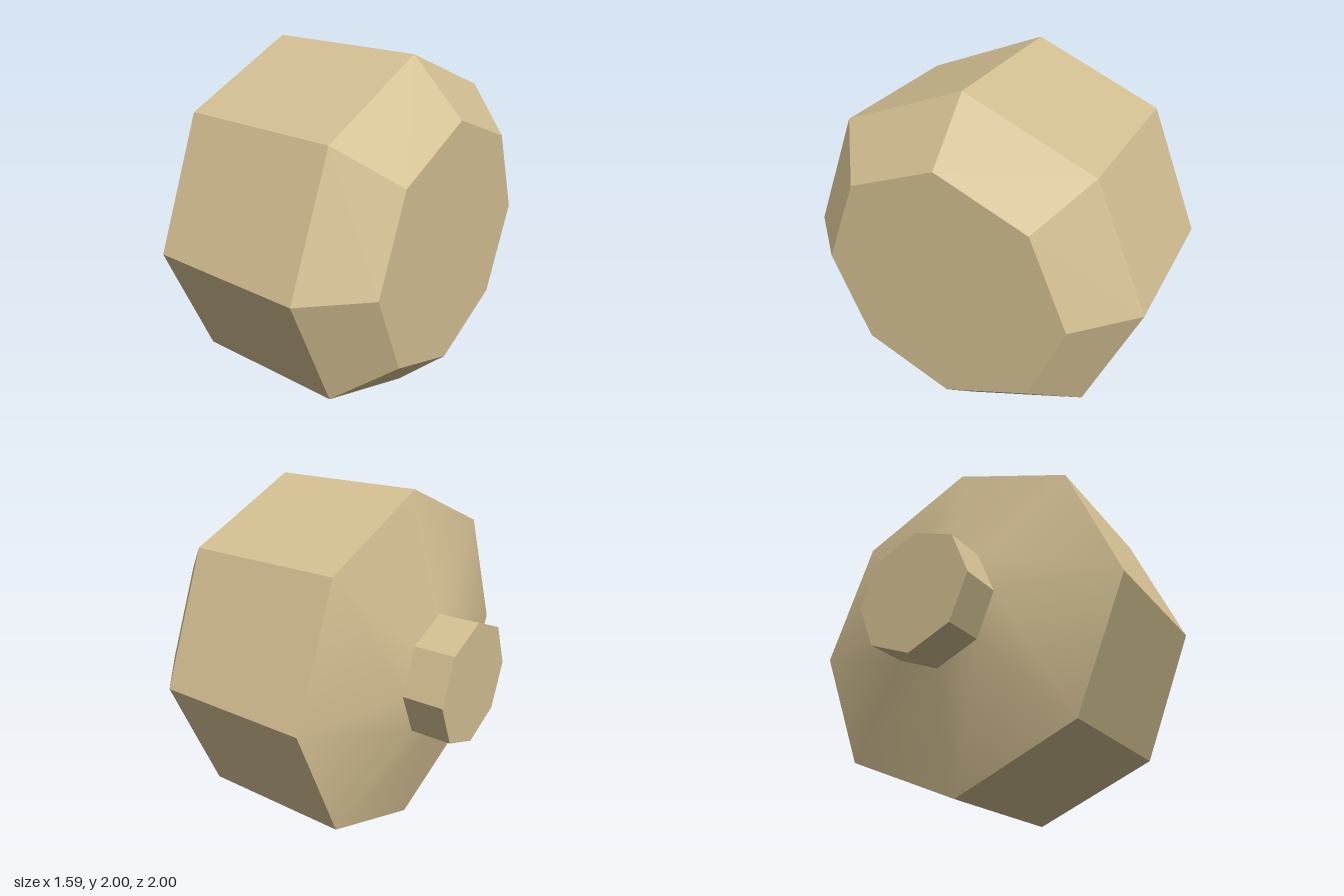
import * as THREE from 'three';

export function createModel() {
  const group = new THREE.Group();
  const tan = new THREE.MeshStandardMaterial({ color: 0xd2be91 });
  tan.name = 'tan';

  // Eight-sided section along x, from (x0, r0) to (x1, r1); open at both ends
  function section(name, x0, r0, x1, r1, smooth = false) {
    let geo = new THREE.CylinderGeometry(r1, r0, x1 - x0, 8, 1, true);
    geo.rotateZ(-Math.PI / 2);
    if (!smooth) {
      geo = geo.toNonIndexed();
      geo.computeVertexNormals();
    }
    add(name, geo, (x0 + x1) / 2);
  }

  // Flat octagonal end disc facing +x (dir 1) or -x (dir -1)
  function cap(name, x, r, dir) {
    const geo = new THREE.CircleGeometry(r, 8);
    geo.rotateY(dir * Math.PI / 2);
    add(name, geo, x);
  }

  function add(name, geo, x) {
    const mesh = new THREE.Mesh(geo, tan);
    mesh.name = name;
    mesh.position.set(x, 1, 0);
    group.add(mesh);
  }

  // Narrow stem
  cap('stemEnd', -0.795, 0.354, -1);
  section('stem', -0.795, 0.354, -0.56, 0.354);
  // Softly shaded shoulder
  section('shoulder', -0.56, 0.354, -0.38, 1, true);
  // Main drum, bevelled rim and face
  section('drum', -0.38, 1, 0.5, 1);
  section('bevel', 0.5, 1, 0.793, 0.707);
  cap('face', 0.793, 0.707, 1);

  return group;
}
